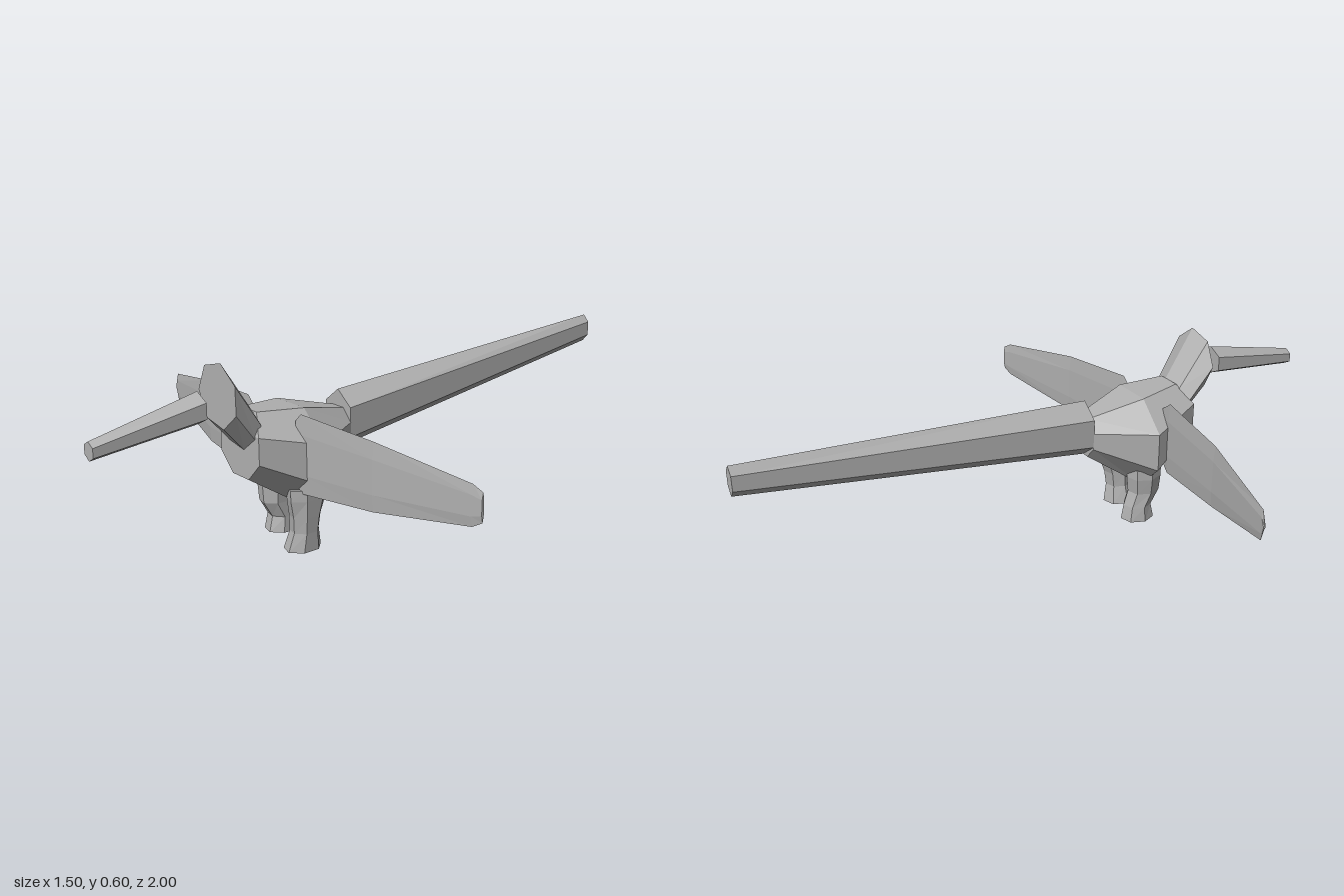
import * as THREE from 'three';

const grey = new THREE.MeshStandardMaterial({ color: 0xb0b0b0, flatShading: true });
grey.name = 'grey';

// Closed faceted solid through a list of rings with equal point counts
function loft(name, rings) {
  const tris = [];
  const n = rings[0].length;
  for (let r = 0; r < rings.length - 1; r++) {
    for (let i = 0; i < n; i++) {
      const j = (i + 1) % n;
      const [a, b, c, d] = [rings[r][i], rings[r][j], rings[r + 1][j], rings[r + 1][i]];
      tris.push([a, b, c], [a, c, d]);
    }
  }
  const last = rings[rings.length - 1];
  for (let i = 1; i < n - 1; i++) {
    tris.push([rings[0][0], rings[0][i + 1], rings[0][i]], [last[0], last[i], last[i + 1]]);
  }
  // Turn the faces outward when the signed volume is negative
  let volume = 0;
  const cross = new THREE.Vector3();
  for (const [a, b, c] of tris) volume += a.dot(cross.crossVectors(b, c));
  const points = tris.flatMap(([a, b, c]) => (volume < 0 ? [a, c, b] : [a, b, c]));
  const geometry = new THREE.BufferGeometry().setFromPoints(points);
  geometry.computeVertexNormals();
  const mesh = new THREE.Mesh(geometry, grey);
  mesh.name = name;
  return mesh;
}

// Polygon in the xy plane at depth z; tilt moves z with height
function ringZ(sides, startDeg, z, cy, rx, ry, tilt = 0) {
  return Array.from({ length: sides }, (_, i) => {
    const a = THREE.MathUtils.degToRad(startDeg) + (i / sides) * Math.PI * 2;
    const dy = Math.sin(a) * ry;
    return new THREE.Vector3(Math.cos(a) * rx, cy + dy, z + dy * tilt);
  });
}

// Horizontal polygon for the legs
function ringY(sides, y, cx, cz, rx, rz) {
  return Array.from({ length: sides }, (_, i) => {
    const a = ((i + 0.5) / sides) * Math.PI * 2;
    return new THREE.Vector3(cx + Math.cos(a) * rx, y, cz + Math.sin(a) * rz);
  });
}

// Thin lens section for the wings, which sweep backwards toward the tip
function wing(name, side, sections) {
  return loft(name, sections.map(([x, cy, half, z]) => [
    [half, 0], [half * 0.5, 0.004], [-half * 0.5, 0.004],
    [-half, 0], [-half * 0.5, -0.004], [half * 0.5, -0.004],
  ].map(([dy, dz]) => new THREE.Vector3(side * x, cy + dy, z + dz))));
}

export function createModel() {
  const model = new THREE.Group();
  model.name = 'bird';

  // Eight-sided body, widest in the middle
  const chest = ringZ(8, 22.5, 0.525, 0.345, 0.106, 0.108);
  chest.forEach((p) => { if (p.y > 0.42) p.z = 0.49; });
  model.add(loft('body', [
    ringZ(8, 22.5, 0.155, 0.323, 0.065, 0.073),
    ringZ(8, 22.5, 0.34, 0.28, 0.178, 0.168),
    chest,
  ]));

  // Seven-sided head rising from the chest to a flat face
  model.add(loft('head', [
    ringZ(7, 27, 0.507, 0.388, 0.085, 0.058, -0.3),
    ringZ(7, 27, 0.593, 0.505, 0.1, 0.1),
  ]));

  // Free-floating tapered beak
  model.add(loft('beak', [
    ringZ(6, 30, 0.66, 0.482, 0.055, 0.048),
    ringZ(6, 30, 1.0, 0.427, 0.028, 0.028),
  ]));

  // Long tapered tail
  model.add(loft('tail', [
    ringZ(6, 30, 0.158, 0.35, 0.07, 0.095),
    ringZ(6, 30, -1.0, 0.468, 0.025, 0.048),
  ]));

  // Wings, with a blunt left tip and a rounder right tip
  model.add(wing('leftWing', 1, [
    [0.1, 0.314, 0.1, 0.395], [0.12, 0.314, 0.123, 0.391], [0.4, 0.313, 0.104, 0.355],
    [0.72, 0.308, 0.06, 0.288], [0.75, 0.308, 0.043, 0.28],
  ]));
  model.add(wing('rightWing', -1, [
    [0.09, 0.314, 0.08, 0.397], [0.15, 0.314, 0.123, 0.387], [0.43, 0.313, 0.104, 0.35],
    [0.735, 0.315, 0.05, 0.284], [0.75, 0.316, 0.005, 0.28],
  ]));

  // Bent stubby legs: height, centre x, centre z, radius x, radius z
  const legs = {
    leftLeg: [[0.2, 0.088, 0.35, 0.048, 0.07], [0.165, 0.088, 0.351, 0.046, 0.068],
      [0.11, 0.086, 0.356, 0.044, 0.052], [0.06, 0.084, 0.358, 0.042, 0.047],
      [0, 0.075, 0.36, 0.05, 0.062]],
    rightLeg: [[0.2, -0.078, 0.345, 0.052, 0.06], [0.165, -0.078, 0.345, 0.052, 0.06],
      [0.11, -0.076, 0.347, 0.047, 0.055], [0.06, -0.074, 0.325, 0.046, 0.047],
      [0.01, -0.074, 0.327, 0.05, 0.058]],
  };
  for (const [name, rows] of Object.entries(legs)) {
    model.add(loft(name, rows.map(([y, cx, cz, rx, rz]) => ringY(7, y, cx, cz, rx, rz))));
  }
  return model;
}
